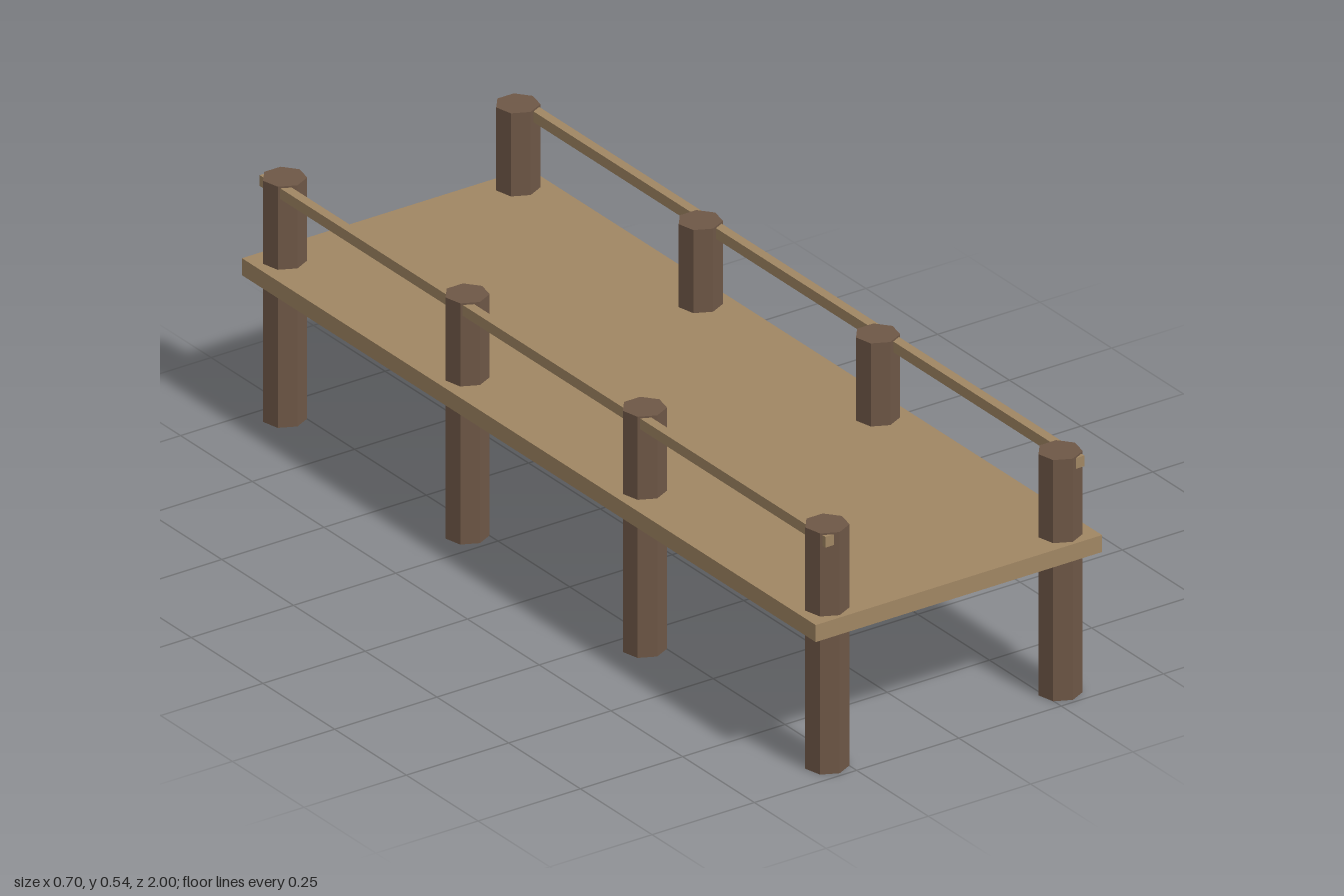
import * as THREE from 'three';

export function createModel() {
  const group = new THREE.Group();
  const plankWood = new THREE.MeshStandardMaterial({ color: 0xa08663 });
  plankWood.name = 'plankWood';
  const postWood = new THREE.MeshStandardMaterial({ color: 0x6e5746, flatShading: true });
  postWood.name = 'postWood';

  const add = (name, geometry, material, x, y, z) => {
    const mesh = new THREE.Mesh(geometry, material);
    mesh.name = name;
    mesh.position.set(x, y, z);
    group.add(mesh);
  };

  // Walking deck
  add('deck', new THREE.BoxGeometry(0.7, 0.038, 2), plankWood, 0, 0.335, 0);

  // Seven-sided posts through the deck, and a handrail along each side
  const postGeometry = new THREE.CylinderGeometry(0.046, 0.046, 0.54, 7);
  const railGeometry = new THREE.BoxGeometry(0.021, 0.024, 1.972);
  for (const [side, s] of [['left', 1], ['right', -1]]) {
    [0.945, 0.309, -0.309, -0.945].forEach((z, i) =>
      add(`${side}Post${i + 1}`, postGeometry, postWood, s * 0.285, 0.27, z));
    add(`${side}Handrail`, railGeometry, plankWood, s * 0.306, 0.524, 0);
  }
  return group;
}
